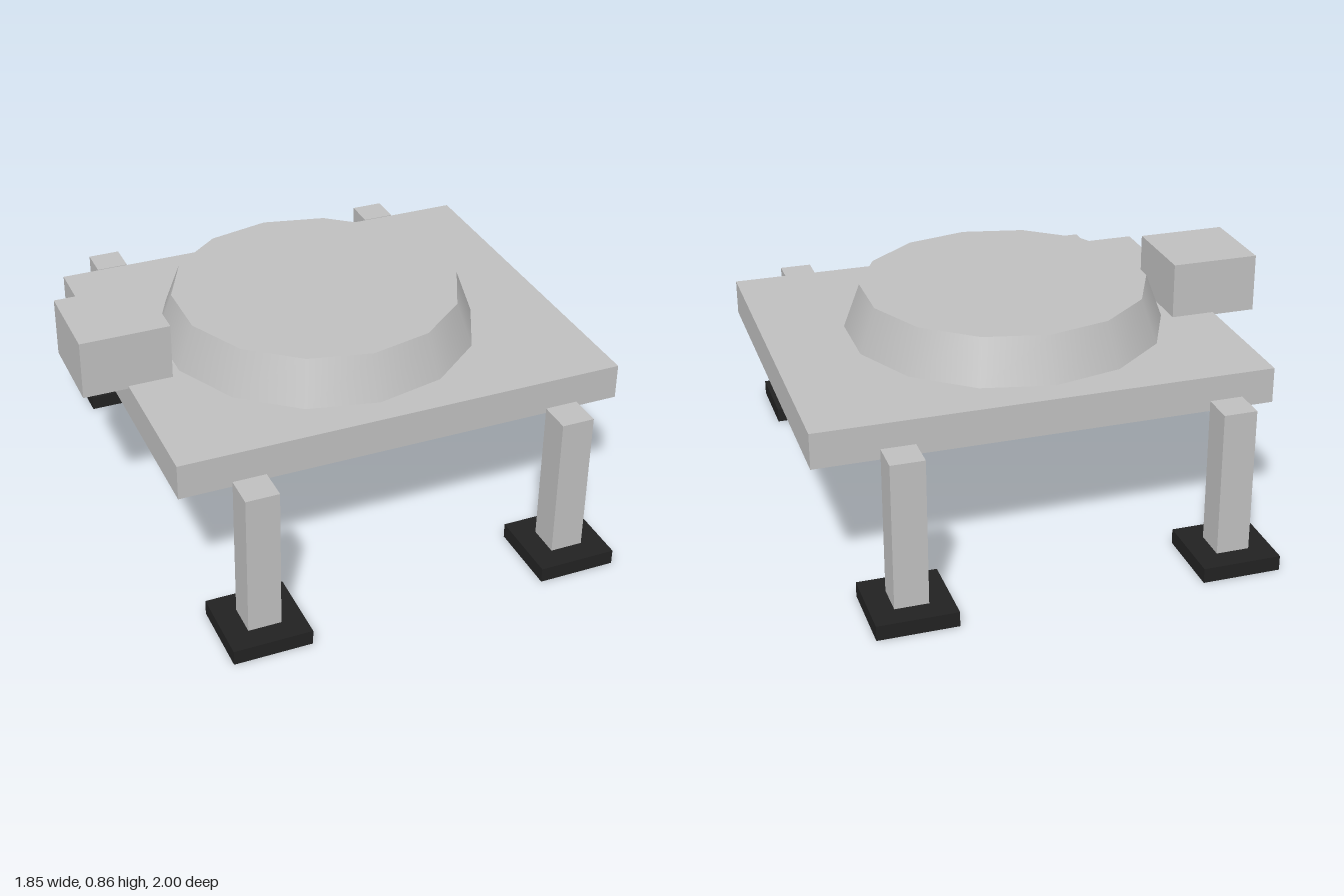
import * as THREE from 'three';

export function createModel() {
  const model = new THREE.Group();
  model.name = 'landingPlatform';

  const grey = new THREE.MeshStandardMaterial({ color: 0xbfbfbf });
  grey.name = 'light grey';
  const black = new THREE.MeshStandardMaterial({ color: 0x222222 });
  black.name = 'black';

  // Box given by its size and the centre of its underside
  function addBox(parent, name, material, [w, h, d], [x, y, z]) {
    const mesh = new THREE.Mesh(new THREE.BoxGeometry(w, h, d), material);
    mesh.name = name;
    mesh.position.set(x, y + h / 2, z);
    parent.add(mesh);
  }

  // Square deck
  addBox(model, 'deck', grey, [1.685, 0.133, 1.41], [0.083, 0.515, 0]);

  // Raised fourteen-sided tapered drum, smooth around the side
  const drum = new THREE.Mesh(new THREE.CylinderGeometry(0.54, 0.602, 0.167, 14), grey);
  drum.name = 'taperedDrum';
  drum.position.set(0.028, 0.648 + 0.167 / 2, 0);
  model.add(drum);

  // Box overhanging the deck's right edge
  addBox(model, 'sideBox', grey, [0.333, 0.221, 0.333], [-0.76, 0.638, 0]);

  // Four legs standing just outside the deck, each on a square foot
  for (const x of [-0.535, 0.645]) {
    for (const z of [-0.855, 0.855]) {
      const leg = new THREE.Group();
      leg.name = (z > 0 ? 'front' : 'back') + (x > 0 ? 'Left' : 'Right') + 'Leg';
      leg.position.set(x, 0, z);
      addBox(leg, 'foot', black, [0.29, 0.056, 0.29], [0, 0, 0]);
      addBox(leg, 'post', grey, [0.122, 0.545, 0.122], [0, 0.056, 0]);
      model.add(leg);
    }
  }

  return model;
}
